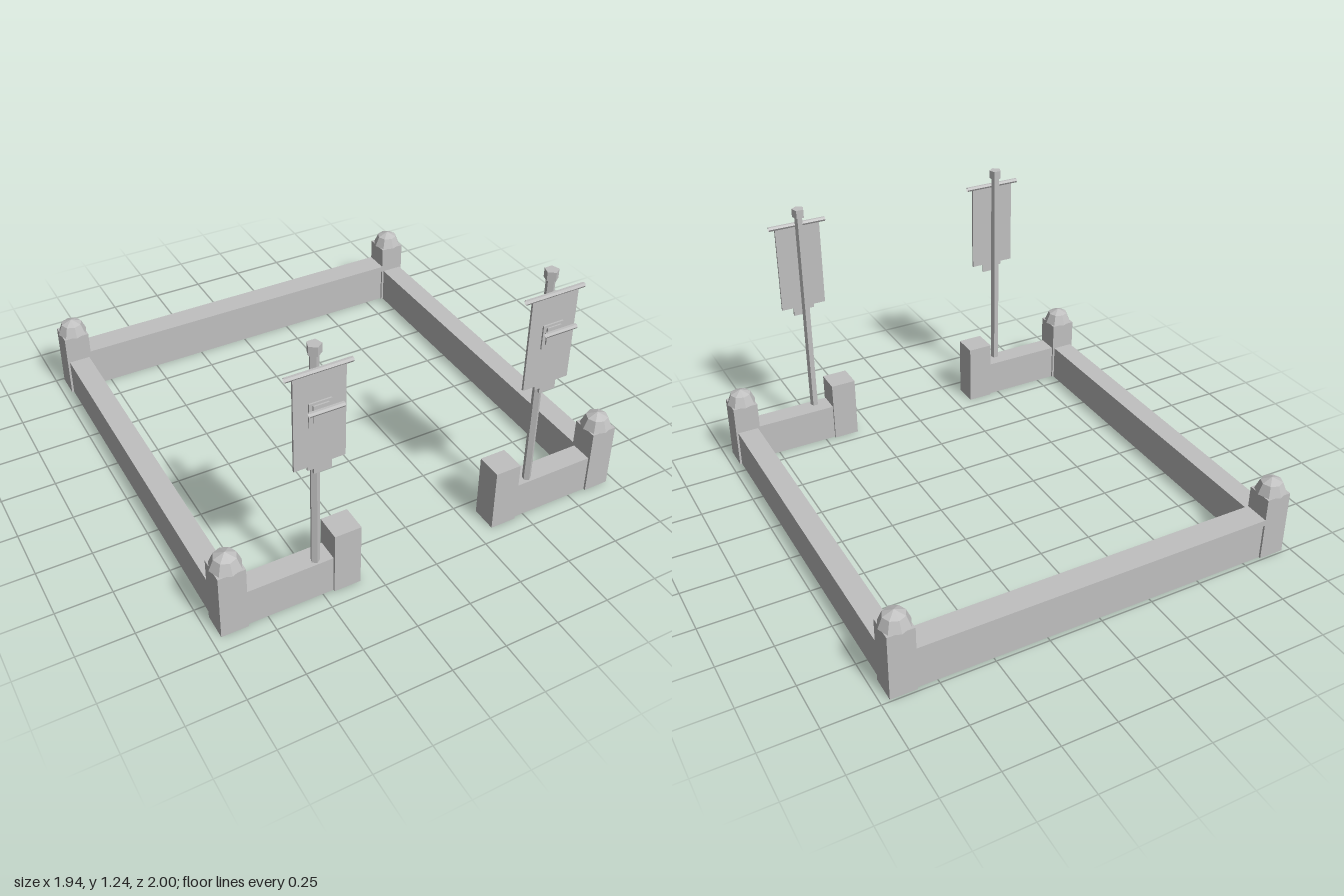
import * as THREE from 'three';

export function createModel() {
  const model = new THREE.Group();
  const stone = new THREE.MeshStandardMaterial({ color: 0xc0c0c0, flatShading: true, side: THREE.DoubleSide });
  stone.name = 'pale grey';

  const add = (parent, name, geometry, x = 0, y = 0, z = 0) => {
    const mesh = new THREE.Mesh(geometry, stone);
    mesh.name = name;
    mesh.position.set(x, y, z);
    parent.add(mesh);
    return mesh;
  };
  // Box given by its extents
  const box = (parent, name, x0, x1, y0, y1, z0, z1) =>
    add(parent, name, new THREE.BoxGeometry(x1 - x0, y1 - y0, z1 - z0),
      (x0 + x1) / 2, (y0 + y1) / 2, (z0 + z1) / 2);
  // Open rod lying along x
  const rod = (parent, name, length, y, z) => {
    const g = new THREE.CylinderGeometry(0.011, 0.011, length, 6, 1, true);
    g.rotateZ(Math.PI / 2);
    add(parent, name, g, 0, y, z);
  };

  const FRONT = 0.87, BACK = -0.93;

  // Back wall with overhanging coping
  box(model, 'backWall', -0.84, 0.84, 0, 0.18, BACK - 0.05, BACK + 0.05);
  box(model, 'backCoping', -0.84, 0.84, 0.18, 0.21, BACK - 0.06, BACK + 0.06);

  for (const side of [-1, 1]) {
    const x = side * 0.9;
    // Corner posts with faceted domes
    for (const z of [FRONT, BACK]) {
      box(model, 'cornerPost', x - 0.06, x + 0.06, 0, 0.315, z - 0.06, z + 0.06);
      add(model, 'postDome', new THREE.SphereGeometry(0.07, 8, 2, 0, Math.PI * 2, 0, Math.PI / 2), x, 0.315, z);
    }
    // Side wall, short front wall and gate pillar
    box(model, 'sideWall', x - 0.05, x + 0.05, 0, 0.18, BACK + 0.06, FRONT - 0.06);
    const f = side * 0.645, g = side * 0.39;
    box(model, 'frontWall', f - 0.195, f + 0.195, 0, 0.18, FRONT - 0.05, FRONT + 0.05);
    box(model, 'gatePillar', g - 0.061, g + 0.061, 0, 0.303, FRONT - 0.06, FRONT + 0.06);

    // Banner on its pole
    const standard = new THREE.Group();
    standard.name = 'bannerStandard';
    standard.position.x = side * 0.521;
    model.add(standard);
    add(standard, 'pole', new THREE.CylinderGeometry(0.02, 0.02, 1.06, 5), 0, 0.69, 0.893);
    add(standard, 'poleCap', new THREE.CylinderGeometry(0.03, 0.03, 0.04, 5), 0, 1.223, 0.893);
    rod(standard, 'crossbar', 0.28, 1.152, 0.929);

    // Cloth with a stepped lower edge
    const cloth = new THREE.Shape([
      [-0.11, 1.145], [-0.11, 0.722], [-0.052, 0.722], [-0.052, 0.705], [-0.026, 0.705],
      [-0.026, 0.68], [0.052, 0.68], [0.052, 0.722], [0.11, 0.722], [0.11, 1.145],
    ].map(([px, py]) => new THREE.Vector2(px, py)));
    add(standard, 'bannerCloth',
      new THREE.ExtrudeGeometry(cloth, { depth: 0.01, bevelEnabled: false }), 0, 0, 0.926);

    // Small hanging emblem with its own rod
    box(standard, 'emblemBack', -0.048, 0.048, 0.91, 1.02, 0.936, 0.943);
    box(standard, 'emblemPanel', -0.033, 0.033, 0.932, 1.01, 0.943, 0.95);
    rod(standard, 'emblemRod', 0.145, 1.014, 0.989);
  }
  return model;
}
